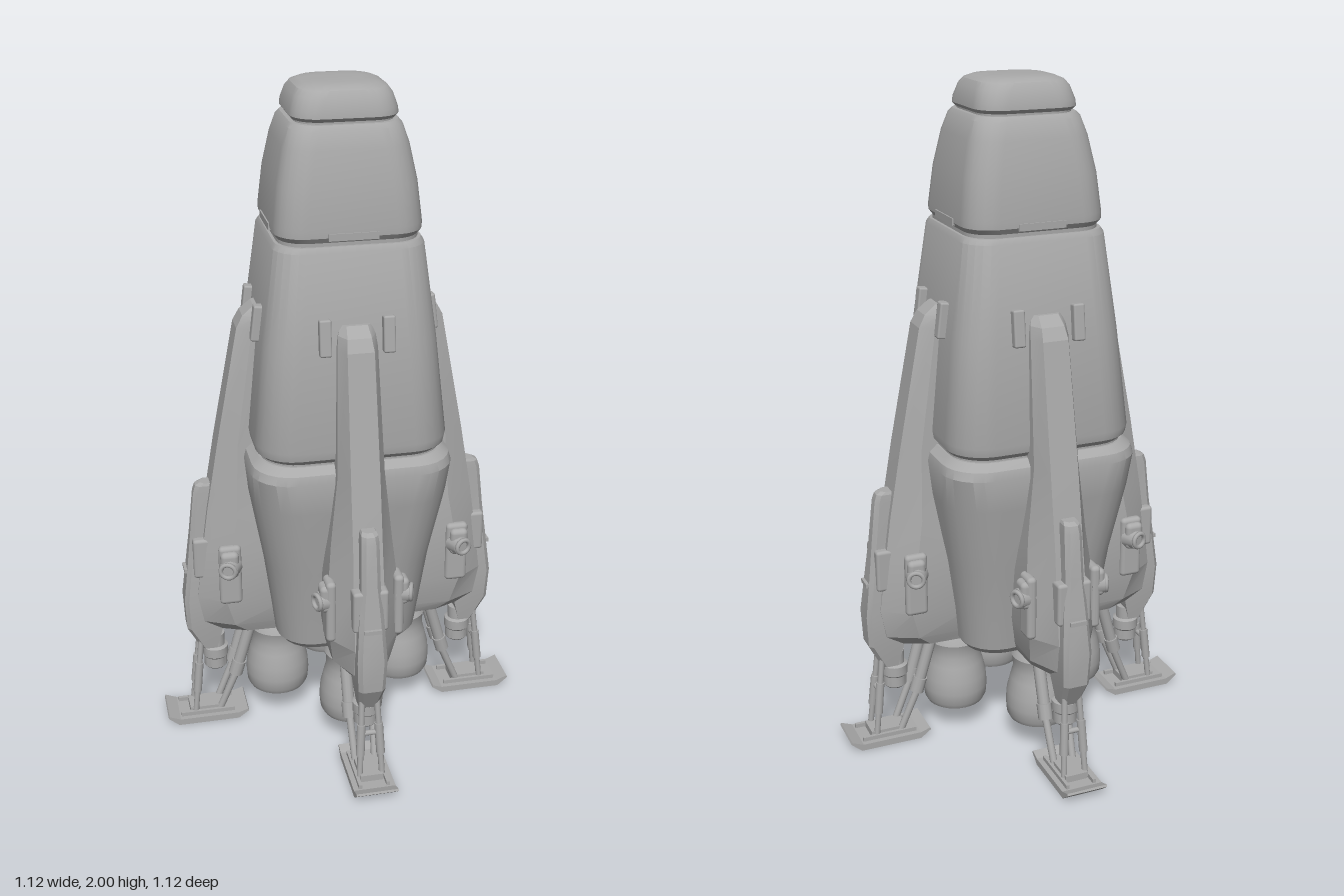
import * as THREE from 'three';
import { toCreasedNormals } from 'three/addons/utils/BufferGeometryUtils.js';
import { RoundedBoxGeometry } from 'three/addons/geometries/RoundedBoxGeometry.js';

const grey = new THREE.MeshStandardMaterial({ color: 0xa9a9a9 });
grey.name = 'hull grey';
const greyOpen = grey; // same paint for the open bells
greyOpen.side = THREE.DoubleSide;

function add(parent, name, geometry, x = 0, y = 0, z = 0) {
  const mesh = new THREE.Mesh(geometry, grey);
  mesh.name = name;
  mesh.position.set(x, y, z);
  parent.add(mesh);
  return mesh;
}

// Skin closed rings of [x, y, z], bottom to top, anticlockwise seen from above
function loft(rings, crease = 0.5) {
  const n = rings[0].length;
  const index = [];
  for (let k = 0; k < rings.length - 1; k++) {
    for (let i = 0; i < n; i++) {
      const a = k * n + i, b = k * n + (i + 1) % n;
      index.push(a, b, b + n, a, b + n, a + n);
    }
  }
  const top = (rings.length - 1) * n;
  for (let i = 1; i < n - 1; i++) {
    index.push(0, i + 1, i, top, top + i, top + i + 1);
  }
  const g = new THREE.BufferGeometry();
  g.setAttribute('position', new THREE.Float32BufferAttribute(rings.flat(2), 3));
  g.setIndex(index);
  return toCreasedNormals(g, crease);
}

// Rounded square ring: height y, half width h, corner radius as a share of h
function squareRing([y, h, round = 0.4]) {
  const r = h * round, c = h - r, ring = [];
  for (let q = 0; q < 4; q++) {
    const mid = Math.PI / 4 + q * Math.PI / 2;
    const cx = Math.sign(Math.cos(mid)) * c, cz = -Math.sign(Math.sin(mid)) * c;
    for (let s = 0; s <= 6; s++) {
      const a = (q + s / 6) * Math.PI / 2;
      ring.push([cx + r * Math.cos(a), y, cz - r * Math.sin(a)]);
    }
  }
  return ring;
}

// Fin ring: inner edge, widest line and narrow outer edge
function finRing([y, rin, rmid, rout, win, wmid, wout]) {
  const half = [[rout, wout], [rmid, wmid], [rin, win]];
  return [
    ...half.map(([r, w]) => [r, y, -w]),
    ...half.slice().reverse().map(([r, w]) => [r, y, w]),
  ];
}

// Chamfered box ring for the leg housing
function housingRing([y, rin, rout, w]) {
  const c = 0.012;
  return [[rout, y, -w + c], [rout - c, y, -w], [rin, y, -w],
    [rin, y, w], [rout - c, y, w], [rout, y, w - c]];
}

function strut(parent, name, from, to, r0, r1 = r0) {
  const a = new THREE.Vector3(...from), b = new THREE.Vector3(...to);
  const dir = b.clone().sub(a);
  const mesh = add(parent, name, new THREE.CylinderGeometry(r1, r0, dir.length(), 12));
  mesh.position.copy(a).add(b).multiplyScalar(0.5);
  mesh.quaternion.setFromUnitVectors(new THREE.Vector3(0, 1, 0), dir.normalize());
}

function lathe(points, segments = 32) {
  const g = new THREE.LatheGeometry(points.map(p => new THREE.Vector2(...p)), segments);
  return toCreasedNormals(g, 0.6);
}

function buildHull(root) {
  const sections = {
    lowerHull: [[0.32, 0.2, 0.5], [0.34, 0.215, 0.5], [0.6, 0.25, 0.5], [0.82, 0.288, 0.45],
      [0.92, 0.297, 0.4], [0.945, 0.29], [0.965, 0.268]],
    lowerGroove: [[0.95, 0.262], [0.99, 0.262]],
    middleHull: [[0.97, 0.262], [0.985, 0.276], [1.01, 0.28], [1.3, 0.25], [1.57, 0.215], [1.585, 0.206]],
    upperGroove: [[1.57, 0.198], [1.62, 0.198]],
    upperHull: [[1.595, 0.198], [1.61, 0.208], [1.63, 0.208], [1.74, 0.196, 0.42], [1.84, 0.176, 0.45],
      [1.89, 0.16, 0.48], [1.902, 0.15, 0.5]],
    noseGroove: [[1.89, 0.138, 0.5], [1.93, 0.138, 0.5]],
    noseCap: [[1.908, 0.142, 0.5], [1.918, 0.15, 0.5], [1.935, 0.148, 0.5], [1.97, 0.137, 0.55],
      [1.987, 0.125, 0.6], [1.996, 0.105, 0.65], [2, 0.07, 0.7]],
  };
  for (const [name, stations] of Object.entries(sections)) {
    add(root, name, loft(stations.map(squareRing)));
  }
}

function buildFoot(arm) {
  // Skid with both tips turned up
  const shape = new THREE.Shape();
  [[0.335, 0], [0.525, 0], [0.558, 0.028], [0.555, 0.034], [0.52, 0.02],
    [0.335, 0.02], [0.305, 0.03], [0.302, 0.024]].forEach(([x, y], i) =>
    i ? shape.lineTo(x, y) : shape.moveTo(x, y));
  add(arm, 'footPad', new THREE.ExtrudeGeometry(shape, { depth: 0.126, bevelEnabled: false }), 0, 0, -0.063);
  for (const s of [-1, 1]) add(arm, 'footRail', new THREE.BoxGeometry(0.17, 0.015, 0.01), 0.43, 0.025, s * 0.042);
  add(arm, 'footPivot', new THREE.BoxGeometry(0.11, 0.025, 0.07), 0.43, 0.028, 0);
}

function buildArm() {
  const arm = new THREE.Group();
  arm.name = 'finAndLandingLeg';

  // Fin from the hull shoulder to the skirt
  add(arm, 'fin', loft([
    [0.325, 0.15, 0.3, 0.375, 0.075, 0.07, 0.04],
    [0.36, 0.15, 0.34, 0.43, 0.085, 0.088, 0.045],
    [0.45, 0.15, 0.365, 0.447, 0.1, 0.102, 0.045],
    [0.62, 0.18, 0.345, 0.425, 0.1, 0.102, 0.045],
    [0.74, 0.2, 0.325, 0.408, 0.085, 0.09, 0.043],
    [0.95, 0.2, 0.315, 0.372, 0.066, 0.068, 0.042],
    [1.31, 0.2, 0.262, 0.304, 0.057, 0.057, 0.038],
    [1.345, 0.2, 0.25, 0.285, 0.054, 0.053, 0.034],
    [1.372, 0.2, 0.235, 0.252, 0.045, 0.043, 0.03],
  ].map(finRing), 0.3));

  // Leg housing on the outer edge
  add(arm, 'legHousing', loft([
    [0.25, 0.392, 0.44, 0.03], [0.33, 0.372, 0.482, 0.04], [0.43, 0.37, 0.487, 0.044],
    [0.56, 0.37, 0.471, 0.036], [0.66, 0.37, 0.459, 0.028], [0.79, 0.37, 0.445, 0.026],
    [0.812, 0.37, 0.438, 0.024], [0.82, 0.37, 0.424, 0.02],
  ].map(housingRing), 0.3));
  add(arm, 'housingBracket', new RoundedBoxGeometry(0.055, 0.13, 0.104, 2, 0.01), 0.428, 0.58, 0);
  add(arm, 'housingLatch', new THREE.BoxGeometry(0.01, 0.012, 0.05), 0.478, 0.53, 0);

  for (const s of [-1, 1]) {
    // Side thrusters
    add(arm, 'thrusterPanel', new RoundedBoxGeometry(0.068, 0.195, 0.03, 3, 0.013), 0.352, 0.548, s * 0.1);
    add(arm, 'thrusterHood', new RoundedBoxGeometry(0.055, 0.085, 0.04, 3, 0.015), 0.355, 0.59, s * 0.112);
    strut(arm, 'thrusterCone', [0.35, 0.58, s * 0.1], [0.362, 0.58, s * 0.135], 0.036, 0.029);
    const ring = add(arm, 'thrusterRim', new THREE.TorusGeometry(0.022, 0.007, 8, 20), 0.364, 0.58, s * 0.139);
    ring.rotation.y = s * 0.33;

    // Hull grips beside the fin tip
    const grip = add(arm, 'hullGrip', new RoundedBoxGeometry(0.035, 0.105, 0.034, 2, 0.006), 0.25, 1.342, s * 0.09);
    grip.rotation.z = 0.12;

    // Landing struts: thick sleeve, thin piston and outer rod
    strut(arm, 'strutSleeve', [0.285, 0.34, s * 0.04], [0.335, 0.165, s * 0.036], 0.018);
    strut(arm, 'strutCollar', [0.325, 0.2, s * 0.037], [0.338, 0.155, s * 0.036], 0.022);
    strut(arm, 'strutPiston', [0.33, 0.17, s * 0.036], [0.39, 0.025, s * 0.03], 0.011);
    strut(arm, 'outerRod', [0.44, 0.29, s * 0.022], [0.468, 0.025, s * 0.034], 0.009);
    strut(arm, 'outerRodSleeve', [0.45, 0.2, s * 0.026], [0.46, 0.1, s * 0.031], 0.013);
  }
  strut(arm, 'strutCrossbar', [0.452, 0.17, -0.028], [0.452, 0.17, 0.028], 0.008);

  // Small downward jet under the housing
  add(arm, 'jet', lathe([[0, 0.29], [0.03, 0.29], [0.03, 0.25], [0.04, 0.245], [0.04, 0.215],
    [0.036, 0.21], [0.036, 0.178], [0.03, 0.172], [0.026, 0.185], [0, 0.19]].reverse(), 20), 0.395, 0, 0);

  buildFoot(arm);

  // Panel lip at the base of the upper hull
  add(arm, 'hullLip', new THREE.BoxGeometry(0.012, 0.02, 0.14), 0.206, 1.612, 0);

  // Main engine bell
  add(arm, 'engineBell', lathe([[0.088, 0.09], [0.096, 0.105], [0.099, 0.14], [0.096, 0.18],
    [0.085, 0.225], [0.077, 0.255], [0.079, 0.285], [0.083, 0.3], [0.076, 0.315], [0.06, 0.34]]), 0.198, 0, 0);
  return arm;
}

export function createModel() {
  const root = new THREE.Group();
  root.name = 'rocketLander';
  buildHull(root);
  for (let i = 0; i < 4; i++) {
    const arm = buildArm();
    arm.rotation.y = i * Math.PI / 2;
    root.add(arm);
  }
  return root;
}
